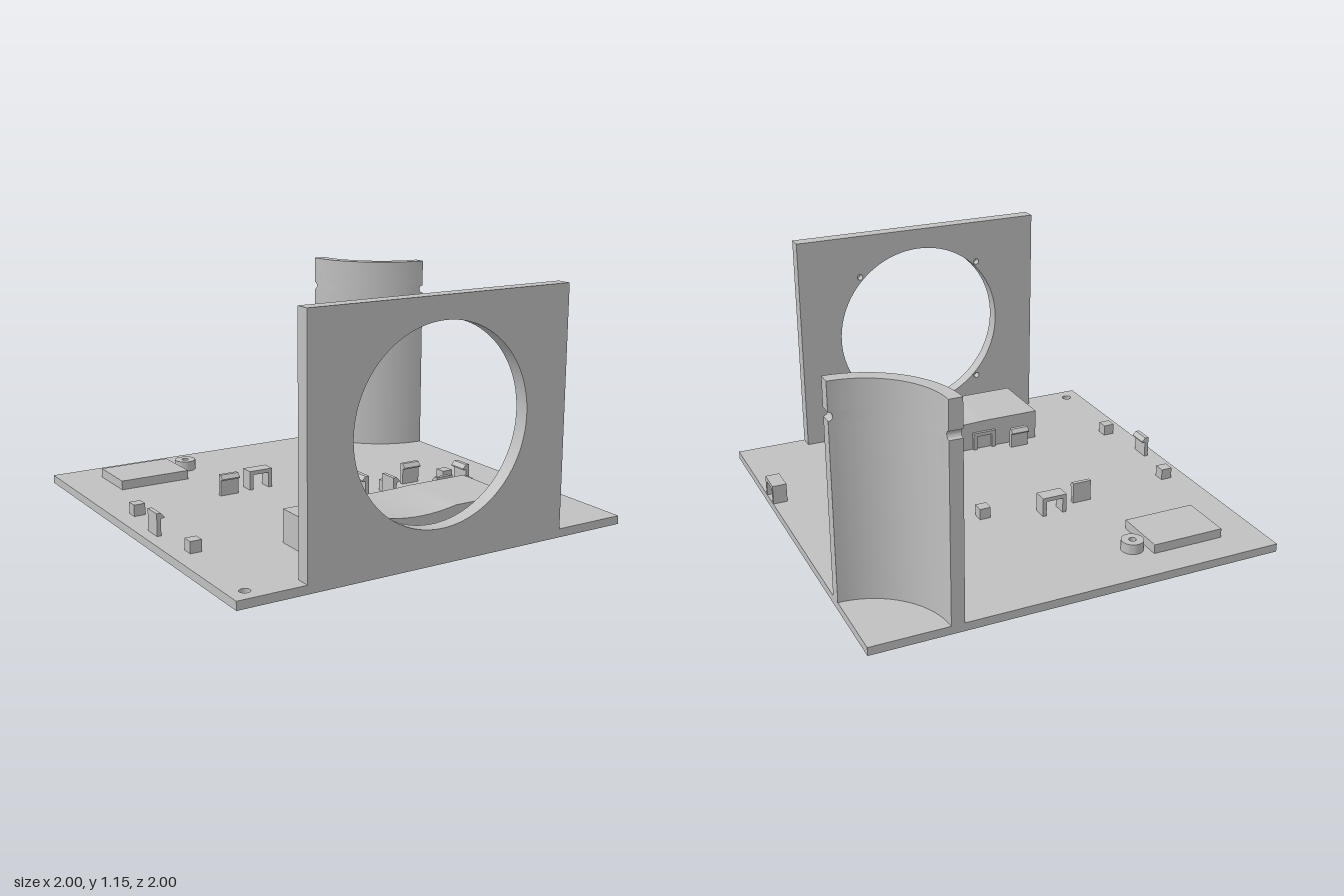
import * as THREE from 'three';
import { toCreasedNormals } from 'three/addons/utils/BufferGeometryUtils.js';

const grey = new THREE.MeshStandardMaterial({ color: 0xc0c0c0 });
grey.name = 'plain grey';

const BASE = 0.04;

export function createModel() {
  const model = new THREE.Group();
  model.name = 'mountingPlate';

  const add = (name, geometry, x = 0, y = 0, z = 0, turn = 0) => {
    const mesh = new THREE.Mesh(geometry, grey);
    mesh.name = name;
    mesh.position.set(x, y, z);
    mesh.rotation.y = turn;
    model.add(mesh);
    return mesh;
  };
  const box = (name, x0, x1, y0, y1, z0, z1) =>
    add(name, new THREE.BoxGeometry(x1 - x0, y1 - y0, z1 - z0), (x0 + x1) / 2, (y0 + y1) / 2, (z0 + z1) / 2);
  const polygon = (points) => new THREE.Shape(points.map(([x, y]) => new THREE.Vector2(x, y)));
  const rect = (x0, x1, y0, y1) => polygon([[x0, y0], [x1, y0], [x1, y1], [x0, y1]]);
  const hole = (shape, x, y, r) => shape.holes.push(new THREE.Path().absarc(x, y, r, 0, Math.PI * 2, true));
  const extrude = (shape, depth, curveSegments = 32) =>
    toCreasedNormals(new THREE.ExtrudeGeometry(shape, { depth, bevelEnabled: false, curveSegments }), 0.5);

  // Base plate with a small corner hole
  const plate = rect(-1, 1, -1, 1);
  hole(plate, -0.92, -0.92, 0.024);
  add('basePlate', extrude(plate, BASE).rotateX(-Math.PI / 2));

  // Upright fan wall: plain front layer, back layer with blind screw holes
  const wall = (screws) => {
    const shape = rect(-0.68, 0.64, BASE, 1.155);
    hole(shape, -0.02, 0.605, 0.445);
    if (screws) {
      for (const sx of [-1, 1]) for (const sy of [-1, 1]) {
        hole(shape, -0.02 + sx * 0.33, 0.605 + sy * 0.33, 0.015);
      }
    }
    return shape;
  };
  add('fanWallFront', extrude(wall(false), 0.03, 64), 0, 0, 0.97);
  add('fanWallBack', extrude(wall(true), 0.04, 64), 0, 0, 0.93);

  // Quarter-round column with a half-round groove across each end face
  add('cornerColumn', columnGeometry(0.43, 0.368), 1, 0, -1);

  // Large block with a shallow scoop, deepest at the front
  const block = new THREE.BoxGeometry(0.98, 0.155, 0.35, 48, 1, 8);
  block.translate(-0.02, BASE + 0.0775, 0.685);
  const p = block.attributes.position;
  for (let i = 0; i < p.count; i++) {
    if (p.getY(i) < 0.1) continue;
    const across = Math.max(0, 1 - ((p.getX(i) + 0.02) / 0.18) ** 2);
    const along = (p.getZ(i) - 0.51) / 0.35;
    p.setY(i, 0.195 - across * (0.005 + 0.013 * along));
  }
  add('scoopedBlock', toCreasedNormals(block, 0.5));

  // Square pad and the round boss beside it
  box('squarePad', -0.8, -0.44, BASE, 0.085, -0.84, -0.58);
  const boss = new THREE.Shape().absarc(0, 0, 0.053, 0, Math.PI * 2, false);
  hole(boss, 0, 0, 0.017);
  add('roundBoss', extrude(boss, 0.05, 16).rotateX(-Math.PI / 2), -0.37, BASE, -0.76);

  // Support posts for the two boards
  const posts = [[-0.89, -0.19], [0.12, -0.19], [-0.89, 0.4], [0.12, 0.4],
    [0.31, 0.11], [0.66, 0.11], [0.31, 0.28], [0.66, 0.28]];
  for (const [x, z] of posts) box('supportPost', x - 0.028, x + 0.028, BASE, 0.095, z - 0.028, z + 0.028);

  // Snap clips: profile hooks toward +x, then turned to face the board
  const clip = extrude(polygon([[-0.018, 0], [0.002, 0], [0.002, 0.08], [0.019, 0.08],
    [0.019, 0.086], [0.002, 0.105], [-0.018, 0.105]]), 0.096).translate(0, 0, -0.048);
  const clips = [
    [-0.927, 0.103, 0], [0.158, 0.103, Math.PI],
    [-0.383, -0.236, -Math.PI / 2], [-0.383, 0.447, Math.PI / 2],
    [0.274, 0.195, 0], [0.697, 0.195, Math.PI],
    [0.485, 0.062, -Math.PI / 2], [0.485, 0.33, Math.PI / 2],
  ];
  for (const [x, z, turn] of clips) add('snapClip', clip, x, BASE, z, turn);

  // Small cable bridges: two legs and a flat top
  const bridge = extrude(polygon([[-0.063, 0], [-0.043, 0], [-0.043, 0.075], [0.043, 0.075],
    [0.043, 0], [0.063, 0], [0.063, 0.095], [-0.063, 0.095]]), 0.07).translate(0, 0, -0.035);
  add('cableBridge', bridge, -0.202, BASE, -0.28);
  add('cableBridge', bridge, -0.202, BASE, 0.53);
  add('cableBridge', bridge, 0.963, BASE, 0.413, Math.PI / 2);

  return model;
}

// Stacked quarter-ring cross-sections; the ends step back where the groove runs
function columnGeometry(outer, inner) {
  const n = 24, grooveY = 0.905, grooveR = 0.02;
  const levels = [[BASE, 0]];
  for (let k = 0; k <= 10; k++) {
    const a = (k / 10 - 0.5) * Math.PI;
    levels.push([grooveY + grooveR * Math.sin(a), grooveR * Math.cos(a)]);
  }
  levels.push([1.06, 0]);

  const point = (r, i, y, inset) => {
    const start = Math.asin(inset / r);
    const t = start + (i / n) * (Math.PI / 2 - 2 * start);
    return [-r * Math.sin(t), y, r * Math.cos(t)];
  };
  const loops = levels.map(([y, inset]) => {
    const loop = [];
    for (let i = 0; i <= n; i++) loop.push(point(outer, i, y, inset));
    for (let i = n; i >= 0; i--) loop.push(point(inner, i, y, inset));
    return loop;
  });

  const verts = [];
  const quad = (a, b, c, d) => verts.push(...a, ...b, ...c, ...a, ...c, ...d);
  const count = 2 * (n + 1);
  for (let k = 0; k < loops.length - 1; k++) {
    for (let i = 0; i < count; i++) {
      const j = (i + 1) % count;
      quad(loops[k][i], loops[k + 1][i], loops[k + 1][j], loops[k][j]);
    }
  }
  const top = loops[loops.length - 1];
  for (let i = 0; i < n; i++) quad(top[i], top[count - 1 - i], top[count - 2 - i], top[i + 1]);

  const geometry = new THREE.BufferGeometry();
  geometry.setAttribute('position', new THREE.Float32BufferAttribute(verts, 3));
  geometry.computeVertexNormals();
  return toCreasedNormals(geometry, 0.5);
}
